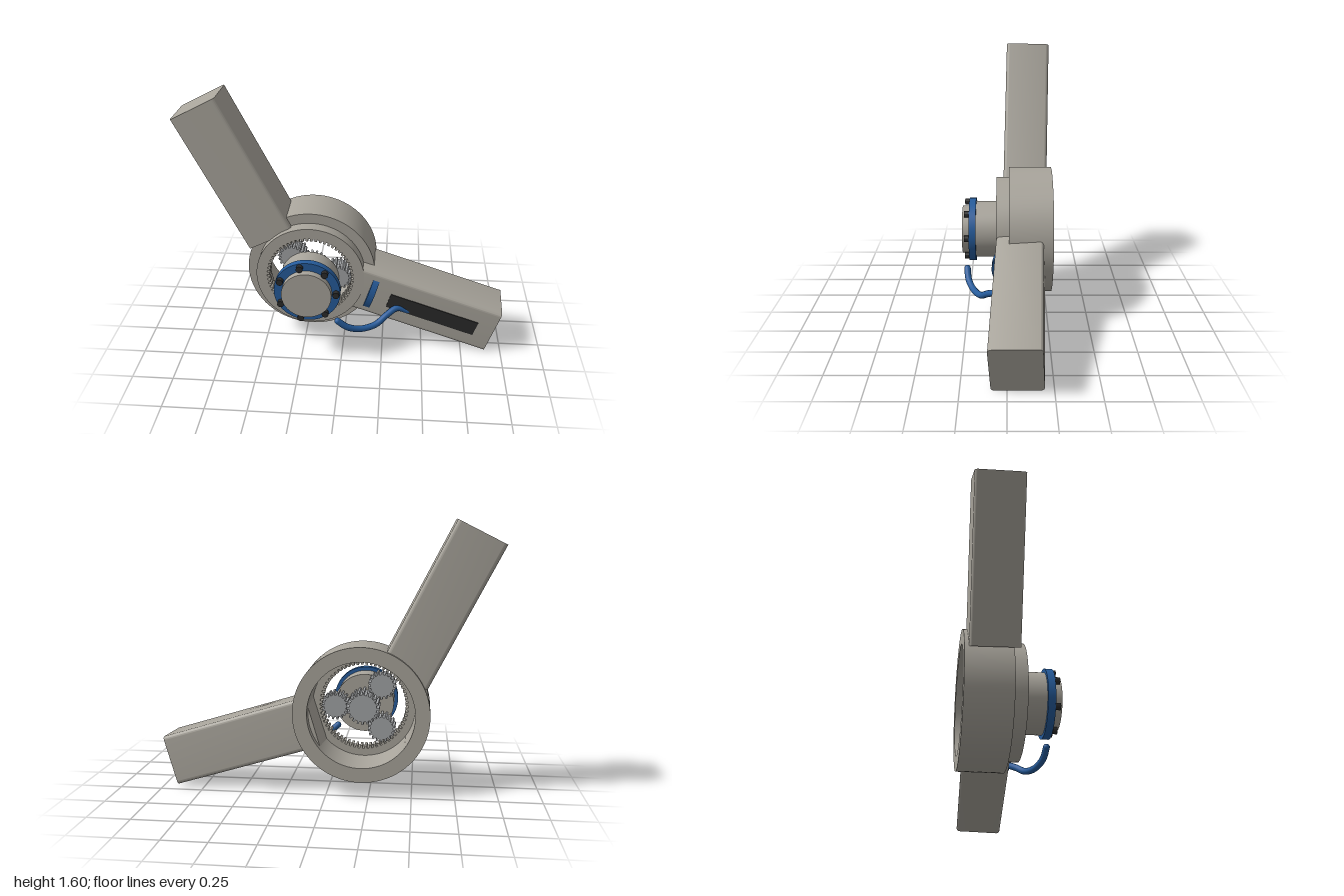
import * as THREE from 'three';
import { toCreasedNormals } from 'three/addons/utils/BufferGeometryUtils.js';

const mat = (name, color) => {
  const m = new THREE.MeshStandardMaterial({ color });
  m.name = name;
  return m;
};

export function createModel() {
  const grey = mat('warm grey', 0xa8a49b);
  const steel = mat('gear steel', 0xa2a4a6);
  const blue = mat('blue', 0x265c9c);
  const black = mat('black', 0x2a2a2a);

  const model = new THREE.Group();
  model.name = 'gearedJoint';
  const joint = new THREE.Group();
  joint.name = 'joint';
  joint.position.set(-0.204, 0.497, 0);
  model.add(joint);

  const add = (parent, name, geometry, material) => {
    const mesh = new THREE.Mesh(geometry, material);
    mesh.name = name;
    parent.add(mesh);
    return mesh;
  };

  // Extrude a shape from z0 to z1, smooth on curves and sharp on corners
  const extrude = (shape, z0, z1) => {
    const g = new THREE.ExtrudeGeometry(shape, { depth: z1 - z0, bevelEnabled: false, curveSegments: 40 });
    g.translate(0, 0, z0);
    return toCreasedNormals(g, 0.5);
  };
  const disc = (r) => new THREE.Shape().absarc(0, 0, r, 0, Math.PI * 2);
  const ring = (outer, hole) => {
    const s = disc(outer);
    s.holes.push(hole);
    return s;
  };
  // Outline with square teeth between two radii
  const toothed = (count, low, high, fill) => {
    const pts = [];
    const step = (Math.PI * 2) / count;
    for (let i = 0; i < count; i++) {
      for (const [r, f] of [[low, 0], [high, 0.06], [high, fill], [low, fill + 0.06]]) {
        const a = (i + f - fill / 2) * step;
        pts.push(new THREE.Vector2(r * Math.cos(a), r * Math.sin(a)));
      }
    }
    return new THREE.Shape(pts);
  };

  // Housing and internal ring gear
  add(joint, 'housing', extrude(ring(0.397, disc(0.312)), -0.278, -0.012), grey);
  add(joint, 'ringGear', extrude(ring(0.334, toothed(60, 0.252, 0.268, 0.45)), -0.014, 0.066), grey);

  // Sun and planet gears
  add(joint, 'sunGear', extrude(toothed(20, 0.082, 0.098, 0.45), -0.1, 0.07), steel);
  for (const deg of [0, 130, 230]) {
    const a = THREE.MathUtils.degToRad(deg);
    const planet = add(joint, 'planetGear', extrude(toothed(18, 0.068, 0.083, 0.45), -0.05, 0.062), steel);
    planet.position.set(0.171 * Math.cos(a), 0.171 * Math.sin(a), 0);
    planet.rotation.z = a;
  }

  // Output hub, cap and bolted flange
  add(joint, 'hub', extrude(disc(0.178), 0.062, 0.2), grey);
  add(joint, 'hubCap', extrude(disc(0.15), 0.198, 0.282), grey);
  add(joint, 'flange', extrude(ring(0.2, disc(0.149)), 0.195, 0.238), blue);
  for (let i = 0; i < 7; i++) {
    const a = (i / 7) * Math.PI * 2;
    const bolt = add(joint, 'bolt', extrude(disc(0.02), 0.236, 0.267), black);
    bolt.position.set(0.176 * Math.cos(a), 0.176 * Math.sin(a), 0);
  }

  // Arms: rounded bars running along local x
  const arm = (name, base, length, depth, angle, tilt, roll) => {
    const w = 0.152, d = depth / 2, r = 0.022;
    const s = new THREE.Shape();
    s.absarc(d - r, w - r, r, 0, Math.PI / 2);
    s.absarc(-d + r, w - r, r, Math.PI / 2, Math.PI);
    s.absarc(-d + r, -w + r, r, Math.PI, Math.PI * 1.5);
    s.absarc(d - r, -w + r, r, Math.PI * 1.5, Math.PI * 2);
    const g = new THREE.ExtrudeGeometry(s, { depth: length, bevelEnabled: false, curveSegments: 6 });
    g.rotateY(Math.PI / 2);
    const group = new THREE.Group();
    group.name = name;
    group.position.set(...base);
    group.rotation.set(roll, tilt, angle, 'ZYX');
    add(group, name + 'Bar', toCreasedNormals(g, 0.5), grey);
    model.add(group);
    return group;
  };
  arm('upperArm', [-0.447, 0.72, -0.115], 0.92, 0.277, THREE.MathUtils.degToRad(117), 0.024, 0);
  const lower = arm('lowerArm', [0.072, 0.432, -0.085], 0.92, 0.285, THREE.MathUtils.degToRad(-17.4), -0.04, 0.055);

  // Dark inset panel on the lower arm
  const panel = add(lower, 'panel', new THREE.BoxGeometry(0.575, 0.1, 0.008), black);
  panel.position.set(0.52, -0.008, 0.1435);

  // Arched blue strap across the lower arm
  const arch = new THREE.Shape().absarc(0, 0, 0.2, -0.56, 0.56);
  const strapGeo = extrude(arch, -0.02, 0.02);
  strapGeo.rotateY(-Math.PI / 2);
  const strap = add(lower, 'strap', strapGeo, blue);
  strap.position.set(0.118, -0.005, -0.028);

  // Cable from the flange into the lower arm
  const path = new THREE.CatmullRomCurve3([
    [-0.02, 0.305, 0.248], [0.04, 0.255, 0.238], [0.12, 0.223, 0.205], [0.21, 0.228, 0.158],
    [0.28, 0.272, 0.108], [0.34, 0.297, 0.07], [0.41, 0.27, 0.056], [0.49, 0.237, 0.052],
  ].map((p) => new THREE.Vector3(...p)));
  add(model, 'cable', new THREE.TubeGeometry(path, 48, 0.02, 14), blue);
  add(model, 'cableEnd', new THREE.SphereGeometry(0.02, 14, 10), blue).position.copy(path.getPoint(0));

  return model;
}
